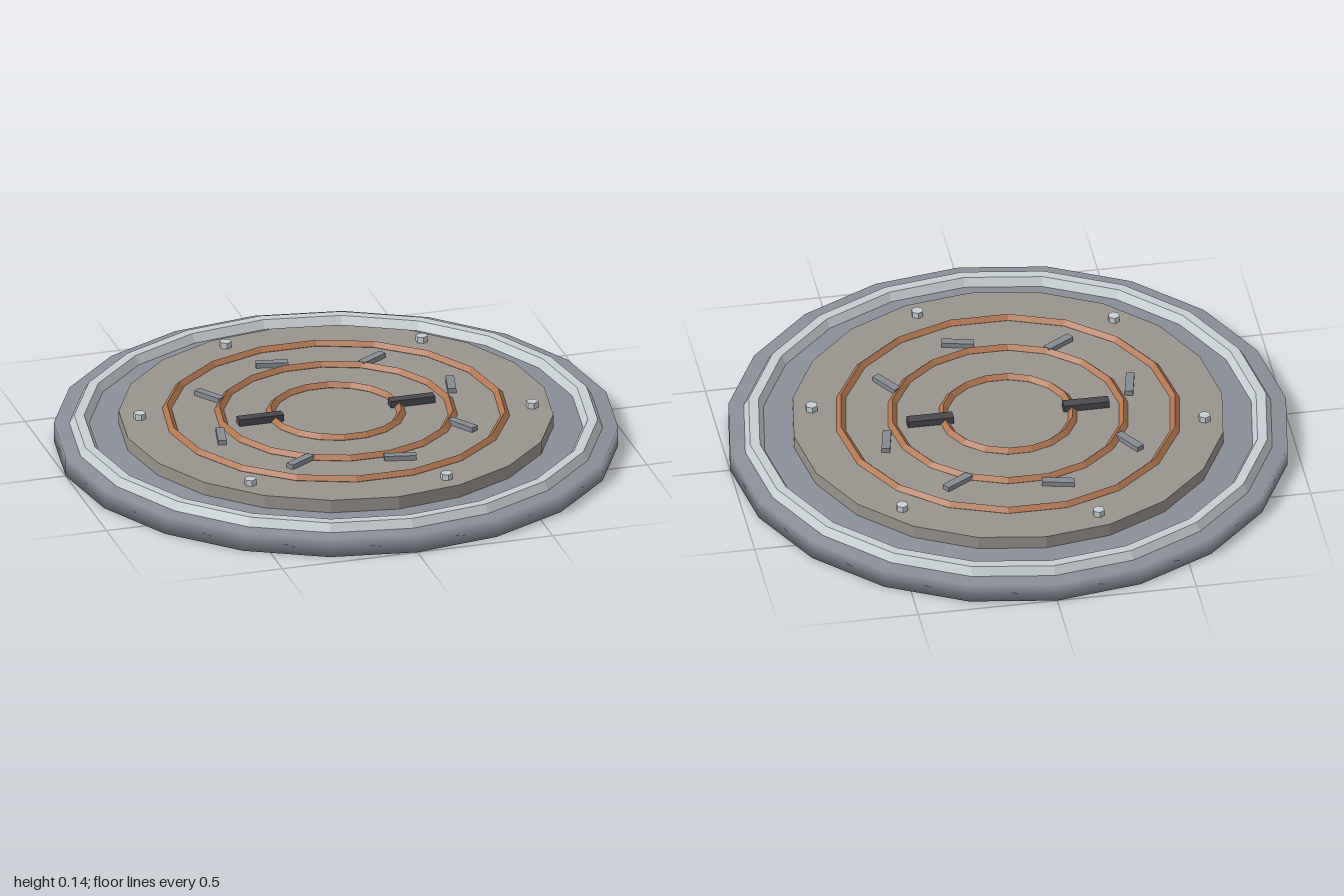
import * as THREE from 'three';

const mat = (color, flatShading = true) => new THREE.MeshStandardMaterial({ color, flatShading });

export function createModel() {
  const group = new THREE.Group();
  const bodyMat = mat(0x8a8f99, false);
  const rimMat = mat(0xc6ced2);
  const plateMat = mat(0x9a938d);
  const copperMat = mat(0xb0744e);
  const barMat = mat(0x868b92);
  const handleMat = mat(0x48484e);

  const add = (name, geometry, material, x = 0, y = 0, z = 0, turn = 0) => {
    const mesh = new THREE.Mesh(geometry, material);
    mesh.name = name;
    mesh.position.set(x, y, z);
    mesh.rotation.y = turn;
    group.add(mesh);
    return mesh;
  };

  // Flat base disc, softly shaded over its edges
  const profile = [[0, 0], [1, 0], [1, 0.07], [0, 0.07]].map(([r, y]) => new THREE.Vector2(r, y));
  add('baseDisc', new THREE.LatheGeometry(profile, 20), bodyMat);

  // Raised outer rim
  add('outerRim', new THREE.TorusGeometry(0.91, 0.035, 6, 20).rotateX(-Math.PI / 2), rimMat, 0, 0.07);

  // Raised centre plate
  add('centrePlate', new THREE.CylinderGeometry(0.77, 0.77, 0.05, 20), plateMat, 0, 0.093);

  // Concentric copper rings
  for (const r of [0.232, 0.415, 0.6]) {
    add('copperRing', new THREE.TorusGeometry(r, 0.0165, 4, 18).rotateX(-Math.PI / 2), copperMat, 0, 0.12);
  }

  // Hexagonal bolts near the plate edge
  const bolt = new THREE.CylinderGeometry(0.022, 0.022, 0.03, 6);
  for (let i = 0; i < 6; i++) {
    const a = 0.22 + (i * Math.PI) / 3;
    add('bolt', bolt, rimMat, 0.697 * Math.cos(a), 0.125, 0.697 * Math.sin(a));
  }

  // Small slanted bars between the rings
  const bar = new THREE.BoxGeometry(0.115, 0.022, 0.03);
  for (let i = 0; i < 8; i++) {
    const a = -0.217 + (i * Math.PI) / 4;
    add('smallBar', bar, barMat, 0.466 * Math.cos(a), 0.125, 0.466 * Math.sin(a), a - Math.PI / 2);
  }

  // Two dark handles across the inner ring
  for (const side of [-1, 1]) {
    add('handle', new THREE.BoxGeometry(0.165, 0.028, 0.038), handleMat, side * 0.28, 0.129);
  }

  return group;
}
